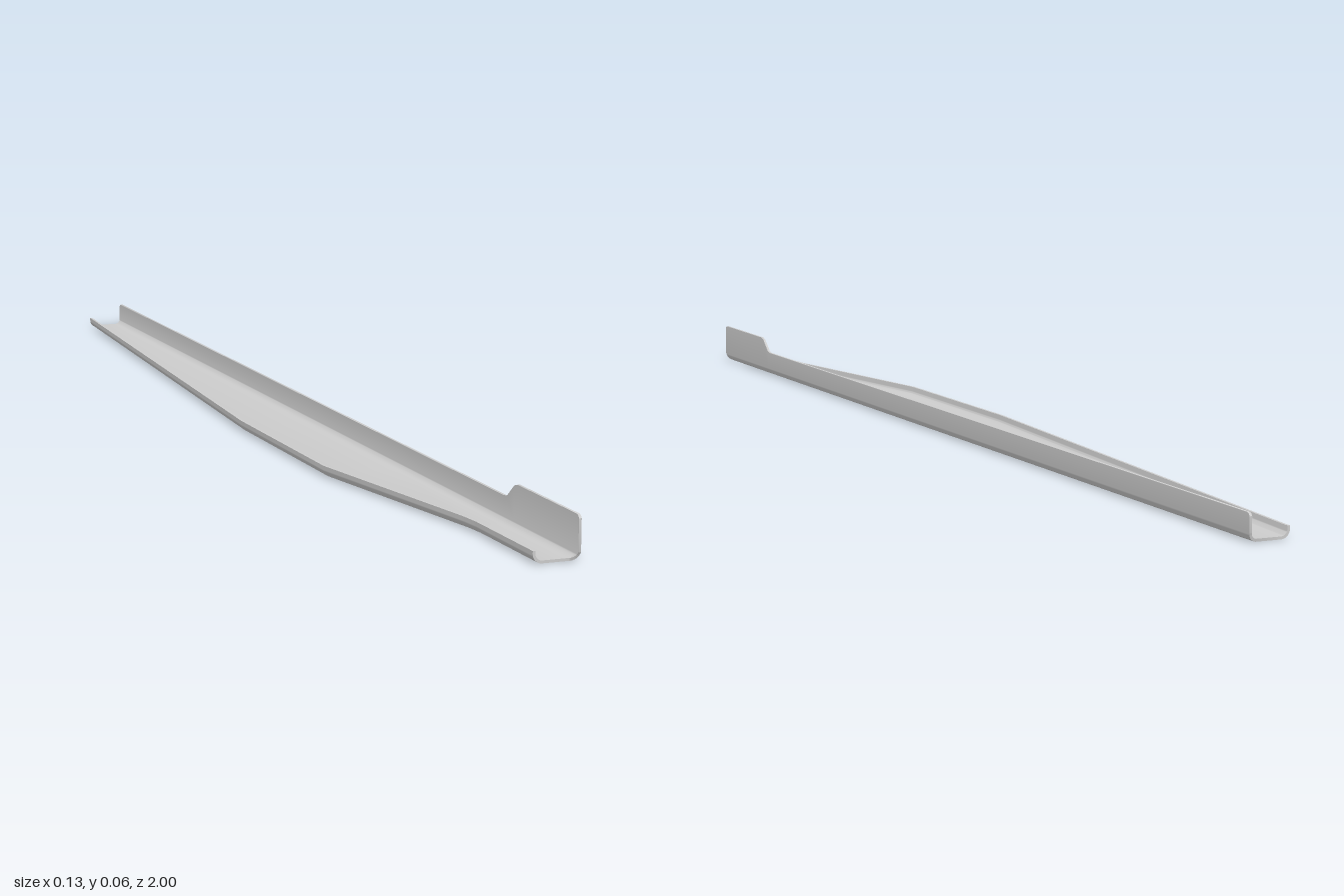
import * as THREE from 'three';
import { toCreasedNormals } from 'three/addons/utils/BufferGeometryUtils.js';

const T = 0.004;        // sheet thickness
const R = 0.014;        // outer bend radius
const WALL_X = 0.065;   // outer face of the tall wall
const LIP_Y = 0.018;    // top of the low lip
const STEPS = 10;       // segments per bend

// Stations along the length: [z, outer x of the lip, wall height]
const stations = [
  [-1, 0, 0.036], [-0.998, 0, 0.039], [-0.994, 0.0003, 0.041],
  [0.04, -0.066, 0.041], [0.4, -0.066, 0.041],
  [0.765, -0.0055, 0.041], [0.775, -0.004, 0.043], [0.798, -0.002, 0.062],
  [0.808, -0.001, 0.065], [0.994, 0, 0.065], [0.998, 0, 0.063], [1, 0, 0.06],
];

// One side of the sheet, from lip top round to wall top; d is the inset
function skin(lipX, wallY, d) {
  const pts = [[lipX + d, LIP_Y, 0]];
  const r = R - d;
  for (let i = 0; i <= STEPS; i++) {
    const a = Math.PI * (1 + 0.5 * i / STEPS);
    pts.push([lipX + R + r * Math.cos(a), R + r * Math.sin(a), 0]);
  }
  for (let i = 0; i <= STEPS; i++) {
    const t = i / STEPS, a = Math.PI * (1.5 + 0.5 * t);
    pts.push([WALL_X - R + r * Math.cos(a), R + r * Math.sin(a), t]);
  }
  pts.push([WALL_X - d, wallY, 1]);
  return pts;
}

// Closed section; the floor and lip stop slightly short of the wall's ends
function section([z, lipX, wallY]) {
  const loop = [...skin(lipX, wallY, 0), ...skin(lipX, wallY, T).reverse()];
  return loop.map(([x, y, w]) => {
    const back = -0.995 - 0.005 * w, front = 0.988 + 0.012 * w;
    const zz = z < -0.9 ? back + (z + 1) : z > 0.9 ? front - (1 - z) : z;
    return [x, y, zz];
  });
}

function channelGeometry() {
  const rings = stations.map(section);
  const n = rings[0].length, pos = [], index = [];
  rings.forEach(ring => ring.forEach(p => pos.push(...p)));
  const quad = (a, b, c, d) => index.push(a, b, c, a, c, d);

  for (let s = 0; s < rings.length - 1; s++) {
    for (let i = 0; i < n; i++) {
      const j = (i + 1) % n, o = s * n;
      quad(o + i, o + j, o + n + j, o + n + i);
    }
  }
  // End faces join the outer and inner skins
  const f = (rings.length - 1) * n;
  for (let i = 0; i < n / 2 - 1; i++) {
    const k = n - 1 - i;
    quad(f + i, f + i + 1, f + k - 1, f + k);
    quad(k, k - 1, i + 1, i);
  }
  const g = new THREE.BufferGeometry();
  g.setAttribute('position', new THREE.Float32BufferAttribute(pos, 3));
  g.setIndex(index);
  return toCreasedNormals(g, Math.PI / 6);
}

export function createModel() {
  const group = new THREE.Group();
  group.name = 'bentSheetRail';
  const rail = new THREE.Mesh(channelGeometry(), new THREE.MeshStandardMaterial({ color: 0xcccccc }));
  rail.name = 'foldedChannel';
  group.add(rail);
  return group;
}
